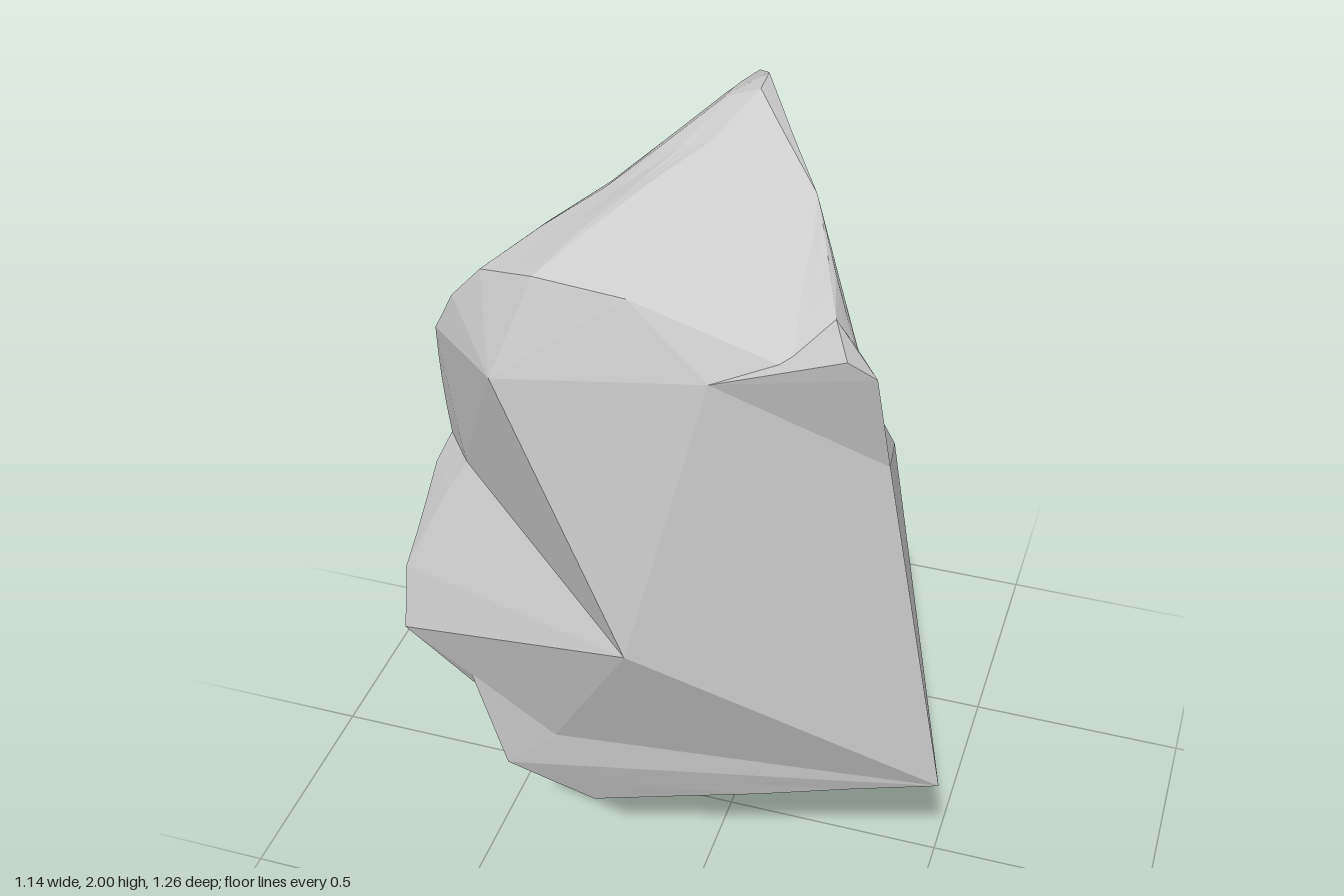
import * as THREE from 'three';
import { ConvexGeometry } from 'three/addons/geometries/ConvexGeometry.js';

const V = (x, y, z) => new THREE.Vector3(x, y, z);
const material = new THREE.MeshStandardMaterial({ color: 0xcccccc, flatShading: true });

// Corners shared by several pieces
const rightTip = V(0.57, 0.66, 0.44);
const frontPeak = V(-0.02, 1.01, 0.627);
const sideCorner = V(0.31, 1.01, -0.19);
const shoulder = V(0.445, 1.47, 0.49);
const sideFold = V(0.09, 1.65, 0.02);
const notch = V(-0.1, 0.61, 0.18);
const backSaddle = V(-0.14, 1.42, -0.26);
const ledgeTip = V(-0.22, 1.42, -0.335);
const backStep = V(-0.18, 0.81, -0.46);
const backTip = V(-0.24, 0.7, -0.58);
const leftDent = V(-0.45, 1.19, 0.35);
const leftSill = V(-0.46, 0.83, 0.46);
const leftRidge = V(-0.52, 1.2, 0.27);
const frontHip = V(-0.25, 0.575, 0.45);
const innerHip = V(-0.33, 0.64, 0.13);
const hornBase = V(0.33, 1.74, 0.46);

// Left flank and brow, common to the main body and the crest
const leftFlank = [
  V(-0.27, 1.58, 0.59), leftDent, V(-0.45, 1.55, 0.42), V(-0.48, 1.42, 0.34), V(-0.4, 1.64, 0.44),
  leftRidge, V(-0.51, 1.0, 0.2), V(-0.47, 1.05, 0.05),
];
const brow = [V(-0.33, 1.72, 0.46), V(-0.2, 1.77, 0.53), V(-0.02, 1.77, 0.55), V(0.14, 1.65, 0.59)];

// Weathered side: zero on the clean fracture planes, full on the left and rear
function roughness(p) {
  const behindRidge = -0.786 * (p.x + 0.14) + 0.618 * (p.z + 0.26);
  return THREE.MathUtils.clamp(Math.min(behindRidge, 0.45 - p.z) * 6, 0, 1);
}
function weather(p) {
  const n = Math.sin(p.x * 17 + p.y * 9) * Math.cos(p.z * 15 - p.y * 13) + 0.5 * Math.sin(p.y * 27 + p.z * 21);
  const k = -0.01 * (1 + n) * roughness(p);
  return p.clone().add(V(-0.8, 0.4, -0.45).multiplyScalar(k));
}

// Split every triangle evenly so the weathered side gets small facets
function piece(name, points, splits = 4) {
  const hull = new ConvexGeometry(points);
  const pos = hull.attributes.position;
  const out = [];
  const [a, b, c] = [V(), V(), V()];
  for (let i = 0; i < pos.count; i += 3) {
    [a, b, c].forEach((v, k) => v.fromBufferAttribute(pos, i + k));
    const at = (u, v) => weather(a.clone()
      .addScaledVector(b.clone().sub(a), u / splits)
      .addScaledVector(c.clone().sub(a), v / splits));
    for (let u = 0; u < splits; u++) {
      for (let v = 0; v < splits - u; v++) {
        out.push(at(u, v), at(u + 1, v), at(u, v + 1));
        if (u + v < splits - 1) out.push(at(u + 1, v), at(u + 1, v + 1), at(u, v + 1));
      }
    }
  }
  const geometry = new THREE.BufferGeometry().setFromPoints(out);
  geometry.computeVertexNormals();
  const mesh = new THREE.Mesh(geometry, material);
  mesh.name = name;
  return mesh;
}

export function createModel() {
  const rock = new THREE.Group();
  rock.name = 'rockShard';

  // Main body with the broad front and side fracture planes
  rock.add(piece('mainBody', [
    rightTip, frontPeak, sideCorner, shoulder, sideFold, notch, backSaddle,
    innerHip, ...leftFlank, ...brow.slice(0, 2), brow[3],
  ]));

  // Small horn at the upper right front corner
  rock.add(piece('cornerHorn', [
    V(0.43, 1.7, 0.56), V(0.38, 1.735, 0.575), V(0.28, 1.69, 0.57),
    hornBase, shoulder, brow[3], sideFold,
  ]));

  // Crest rising to the summit
  rock.add(piece('crest', [
    sideFold, shoulder, backSaddle, ...leftFlank, ...brow, hornBase,
    V(-0.1, 1.71, -0.17), V(0.0, 1.88, -0.06), V(0.06, 1.96, 0.02), V(0.1, 2, 0.1),
    V(0.1, 2, 0.16), V(0.03, 1.975, 0.16), V(0.16, 1.94, 0.26), V(0.25, 1.9, 0.32),
    V(0.31, 1.79, 0.4), V(0.28, 1.69, 0.56),
  ]));

  // Nose jutting out on the left, under the dent in the flank
  rock.add(piece('leftNose', [
    rightTip, frontPeak, frontHip, leftDent, leftSill, leftRidge, notch, innerHip,
    V(-0.54, 1.05, 0.33), V(-0.575, 0.93, 0.41), V(-0.57, 0.8, 0.455),
    V(-0.44, 0.66, 0.43), V(-0.51, 1.0, 0.2), V(-0.49, 0.82, 0.12),
  ]));

  // Front foot below the main body
  rock.add(piece('frontFoot', [
    rightTip, notch, frontHip, leftSill, innerHip,
    V(-0.2, 0.33, 0.38), V(-0.26, 0.29, 0.28), V(-0.28, 0.42, 0.15),
    V(-0.37, 0.45, 0.44), V(-0.39, 0.58, 0.44), V(-0.34, 0.42, 0.3),
  ]));

  // Rear foot tapering to the lowest point
  rock.add(piece('rearFoot', [
    sideCorner, notch, backStep, backTip, innerHip,
    V(0.07, 0.63, -0.63), V(-0.06, 0, -0.32), V(0.09, 0.2, -0.3),
    V(-0.19, 0.44, -0.53), V(-0.1, 0.25, -0.39),
    V(-0.21, 0.3, 0.06), V(-0.15, 0.1, -0.14),
  ]));

  // Thin wall at the back between the rear foot and the saddle
  rock.add(piece('backWall', [
    sideCorner, backSaddle, ledgeTip, backStep, backTip,
    V(-0.27, 1.1, -0.45), V(-0.255, 1.03, -0.49), V(-0.25, 0.88, -0.51), V(-0.24, 1.29, -0.41),
    V(-0.12, 1.1, -0.15), V(-0.12, 0.75, -0.2),
  ]));

  // Overhanging ledge on the left rear
  rock.add(piece('rearLedge', [
    backSaddle, ledgeTip, V(-0.33, 1.3, -0.28), V(-0.43, 1.32, -0.07),
    V(-0.44, 1.2, 0.01), V(-0.49, 0.82, 0.12), V(-0.4, 0.94, -0.05),
    V(-0.33, 0.98, -0.2), V(-0.25, 1.2, -0.3), V(0, 1, 0.1),
  ]));

  return rock;
}
